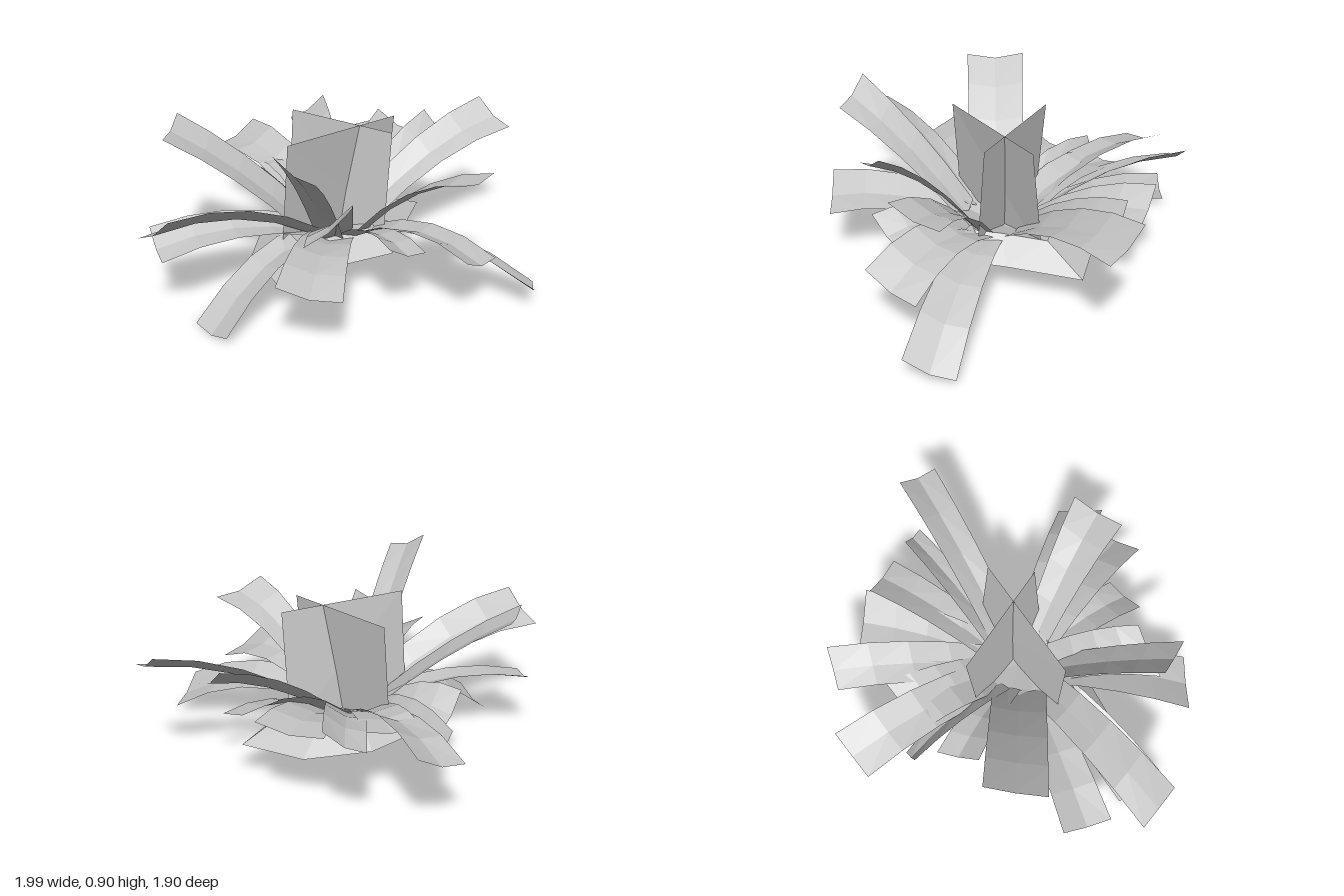
import * as THREE from 'three';

const grey = new THREE.MeshStandardMaterial({ color: 0xc8c8c8, side: THREE.DoubleSide, flatShading: true });
grey.name = 'leafGrey';

// Faceted surface through rows of points, each row holding the same number of points
function sheet(rows, name) {
  const pos = [], idx = [], n = rows[0].length;
  rows.forEach(r => r.forEach(p => pos.push(p.x, p.y, p.z)));
  for (let i = 0; i < rows.length - 1; i++) {
    for (let j = 0; j < n - 1; j++) {
      const a = i * n + j, b = a + 1, c = a + n, d = c + 1;
      idx.push(a, b, c, b, d, c);
    }
  }
  let geo = new THREE.BufferGeometry();
  geo.setAttribute('position', new THREE.Float32BufferAttribute(pos, 3));
  geo.setIndex(idx);
  geo = geo.toNonIndexed();
  geo.computeVertexNormals();
  const mesh = new THREE.Mesh(geo, grey);
  mesh.name = name;
  return mesh;
}

const V = (x, y, z) => new THREE.Vector3(x, y, z);

// Arching strip with a valley crease, given by its two tip corners, arch height
// and base width as a share of tip width; it twists from half its tilt at the
// base to the full tilt at the tip
function leaf(name, a, b, bulge = 0.06, baseWidth = 0.7) {
  const A = V(...a), B = V(...b);
  const tip = A.clone().add(B).multiplyScalar(0.5);
  const half = B.clone().sub(A).multiplyScalar(0.5);
  const dir = V(tip.x - 0.03, 0, tip.z).normalize();
  const side = V(-dir.z, 0, dir.x);
  if (side.dot(half) < 0) side.negate();
  const baseHalf = side.multiplyScalar(half.length()).add(half).setLength(half.length() * baseWidth);
  const base = V(0.03 + dir.x * 0.15, 0.27, dir.z * 0.15);
  const control = base.clone().add(tip).multiplyScalar(0.5);
  control.y += bulge * 2;
  const curve = new THREE.QuadraticBezierCurve3(base, control, tip);
  const rows = [];
  for (let i = 0; i <= 4; i++) {
    const t = i / 4, c = curve.getPoint(t);
    const w = baseHalf.clone().lerp(half, t);
    const mid = c.clone();
    mid.y -= 0.025;
    rows.push([c.clone().sub(w), mid, c.clone().add(w)]);
  }
  return sheet(rows, name);
}

// Tip corners, then arch height and base width where they differ from the usual
const LEAVES = [
  [[-1.0, 0.48, -0.21], [-0.98, 0.62, -0.01], 0.08],
  [[-0.79, 0.0, -0.1], [-0.82, 0.04, 0.15], 0.09],
  [[-0.85, 0.28, -0.25], [-0.75, 0.35, -0.47]],
  [[-0.74, 0.37, 0.39], [-0.53, 0.29, 0.59]],
  [[-0.62, 0.9, 0.26], [-0.56, 0.81, 0.46], 0.04],
  [[-0.55, 0.48, 0.37], [-0.32, 0.61, 0.44]],
  [[-0.22, 0.42, 0.58], [0.0, 0.33, 0.6]],
  [[0.02, 0.35, 0.83], [0.29, 0.26, 0.78], 0.09],
  [[0.08, 0.68, 0.73], [0.36, 0.64, 0.69], 0.08, 0.5],
  [[0.38, 0.12, 0.95], [0.57, 0.03, 0.81], 0.09],
  [[0.99, 0.69, 0.11], [0.98, 0.58, 0.32], 0.07],
  [[0.76, 0.63, -0.07], [0.8, 0.54, 0.05], 0.05, 1],
  [[0.71, 0.57, -0.35], [0.79, 0.47, -0.14]],
  [[0.55, 0.47, -0.58], [0.75, 0.51, -0.35]],
  [[0.47, 0.47, -0.78], [0.63, 0.58, -0.69], 0.07, 0.9],
  [[0.08, 0.37, -0.95], [0.32, 0.46, -0.93], 0.09],
  [[0.06, 0.4, -0.61], [0.35, 0.44, -0.59]],
  [[-0.02, 0.4, -0.74], [0.07, 0.27, -0.73], 0.07, 1.2],
  [[-0.41, 0.78, -0.65], [-0.64, 0.76, -0.47], 0.04, 0.9],
  [[-0.24, 0.45, -0.53], [-0.05, 0.34, -0.63]],
];

export function createModel() {
  const model = new THREE.Group();
  model.name = 'leafyPlant';

  // Spreading leaves
  const leaves = new THREE.Group();
  leaves.name = 'leaves';
  LEAVES.forEach((spec, i) => leaves.add(leaf('leaf' + (i + 1), ...spec)));
  model.add(leaves);

  // Two crossed upright panels in the middle
  model.add(sheet([
    [V(-0.28, 0.18, -0.06), V(0.35, 0.18, 0.02)],
    [V(-0.28, 0.76, -0.01), V(0.34, 0.76, 0.09)],
  ], 'widePanel'));
  model.add(sheet([
    [V(0.0, 0.18, -0.31), V(0.12, 0.18, 0.23)],
    [V(0.05, 0.76, -0.32), V(0.17, 0.76, 0.23)],
  ], 'crossPanel'));

  // Low skirt around the base, dished in the centre
  const outline = [[0.61, 0.03], [0.28, 0.2], [0.1, 0.31], [-0.12, 0.23], [-0.49, 0.13],
    [-0.4, -0.15], [-0.15, -0.34], [0.15, -0.37], [0.45, -0.25], [0.61, 0.03]];
  const ring = (s, y) => outline.map(([x, z]) => V(0.03 + (x - 0.03) * s, y, z * s));
  model.add(sheet([ring(1, 0.175), ring(0.6, 0.28), ring(0.04, 0.22)], 'skirt'));

  return model;
}
